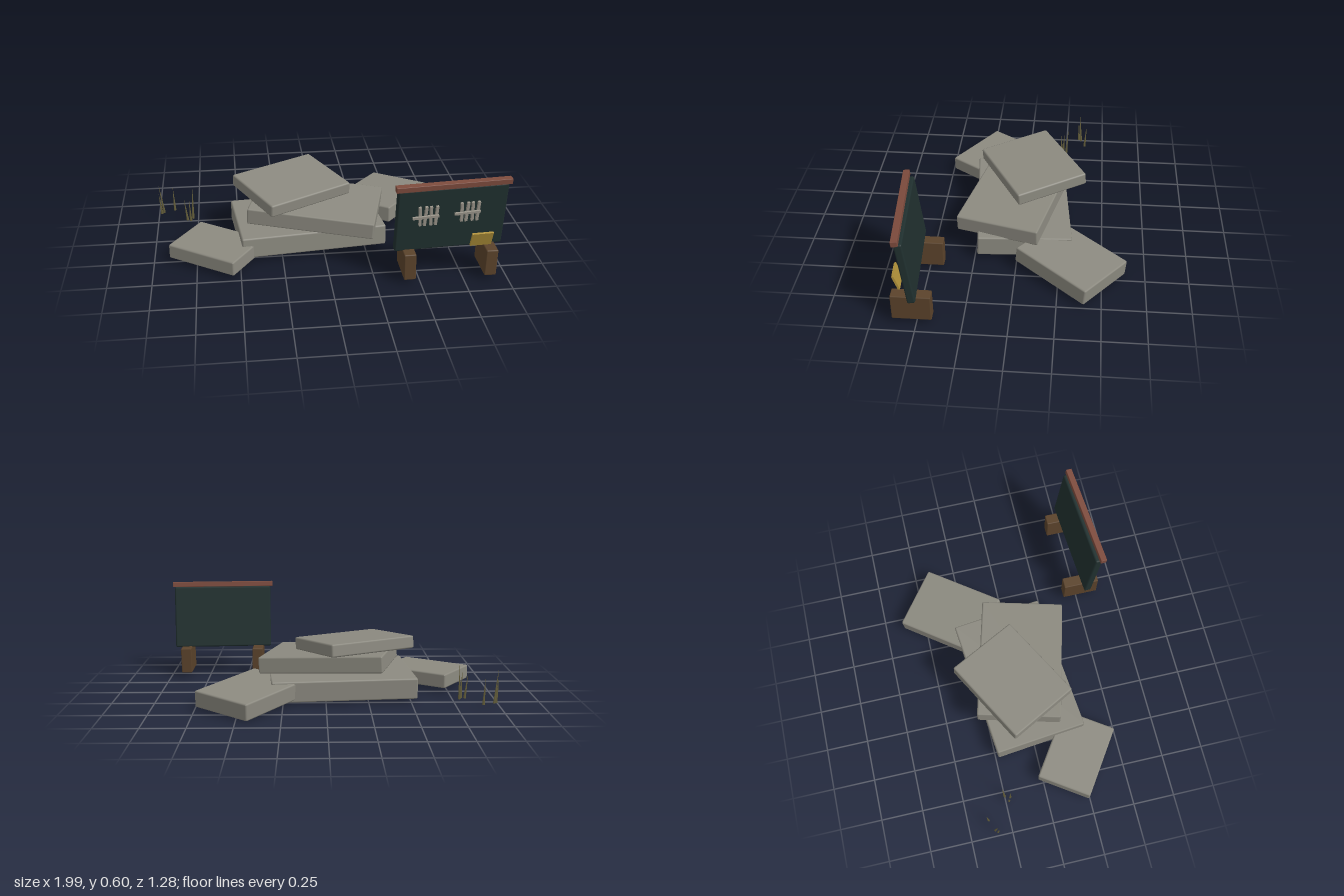
import * as THREE from 'three';
import { RoundedBoxGeometry } from 'three/addons/geometries/RoundedBoxGeometry.js';

const mat = (name, color) => {
  const m = new THREE.MeshStandardMaterial({ color });
  m.name = name;
  return m;
};

export function createModel() {
  const stone = mat('stone grey', 0x8c8a80);
  const slate = mat('dark slate', 0x20302f);
  const rust = mat('rust red', 0x7d4b3d);
  const wood = mat('brown wood', 0x5b432b);
  const brass = mat('dull yellow', 0xb0913a);
  const chalk = mat('chalk grey', 0x9a958a);
  const straw = mat('dry grass', 0x66603c);

  const model = new THREE.Group();

  // Bevelled block, turned about y first and then tilted locally
  function block(name, material, size, pos, [ry = 0, rx = 0, rz = 0], bevel, parent = model) {
    const geo = bevel
      ? new RoundedBoxGeometry(...size, 1, bevel)
      : new THREE.BoxGeometry(...size);
    const mesh = new THREE.Mesh(geo, material);
    mesh.name = name;
    mesh.position.set(...pos);
    mesh.rotation.set(rx, ry, rz, 'YXZ');
    parent.add(mesh);
    return mesh;
  }

  // Stacked and fallen stone slabs
  const slabs = [
    ['baseSlab', [0.86, 0.125, 0.555], [-0.085, 0.098, -0.002], [0.1, -0.035, 0]],
    ['middleSlab', [0.75, 0.1, 0.5], [-0.025, 0.225, 0.025], [-0.258, 0.01, -0.06]],
    ['topSlab', [0.56, 0.075, 0.45], [-0.17, 0.332, -0.06], [0.5, 0.07, 0]],
    ['fallenSlabBack', [0.39, 0.1, 0.515], [0.435, 0.088, -0.32], [-0.66, -0.07, 0.05]],
    ['fallenSlabFront', [0.447, 0.088, 0.33], [-0.635, 0.08, 0.23], [-0.594, 0, 0]],
  ];
  for (const [name, size, pos, rot] of slabs) block(name, stone, size, pos, rot, 0.01);

  // Sign posts
  block('leftPost', wood, [0.068, 0.16, 0.22], [0.9, 0.116, 0.525], [0, 0, -0.02], 0.006);
  block('rightPost', wood, [0.068, 0.16, 0.22], [0.437, 0.116, 0.525], [0, 0, 0.02], 0.006);

  // Leaning board with its top rail
  const sign = new THREE.Group();
  sign.name = 'sign';
  sign.position.set(0.667, 0.386, 0.5525);
  sign.rotation.set(0.115, 0.07, 0, 'YXZ');
  model.add(sign);
  block('board', slate, [0.626, 0.395, 0.045], [0, 0, 0], [], 0.01, sign);
  block('topRail', rust, [0.655, 0.033, 0.037], [0.668, 0.597, 0.592], [0.08, 0.1, 0], 0.003);

  // Tally marks: four upright strokes and one across, twice
  for (const [cx, cy] of [[-0.155, 0.034], [0.082, 0.041]]) {
    const tally = new THREE.Group();
    tally.name = 'tallyMarks';
    tally.position.set(cx, cy, 0.0225);
    sign.add(tally);
    for (let i = 0; i < 4; i++) {
      const tilt = [0.06, -0.05, 0.04, -0.03][i];
      block('stroke', chalk, [0.015, 0.12, 0.018], [-0.03 + i * 0.031, 0, 0.006], [0, 0, tilt], 0, tally);
    }
    block('crossStroke', chalk, [0.148, 0.014, 0.012], [0, 0, 0.018], [0, 0, 0.04], 0, tally);
  }

  // Small plate hanging in front of the board
  block('plate', brass, [0.122, 0.092, 0.012], [0.84, 0.26, 0.605], [0.07, 0.33, 0], 0);

  // Dry grass: base x, z, then tip x, y, z
  const blades = [
    [-0.967, -0.35, -0.99, 0.235, -0.335],
    [-0.98, -0.335, -0.993, 0.175, -0.33],
    [-0.9, -0.375, -0.906, 0.19, -0.385],
    [-0.815, -0.23, -0.832, 0.18, -0.235],
    [-0.795, -0.22, -0.8, 0.185, -0.215],
    [-0.782, -0.25, -0.776, 0.24, -0.262],
  ];
  for (const [bx, bz, tx, ty, tz] of blades) {
    const base = new THREE.Vector3(bx, 0.03, bz);
    const tip = new THREE.Vector3(tx, ty, tz);
    const dir = tip.clone().sub(base);
    const blade = new THREE.Mesh(new THREE.ConeGeometry(0.008, dir.length(), 4), straw);
    blade.name = 'grassBlade';
    blade.position.copy(base).add(tip).multiplyScalar(0.5);
    blade.quaternion.setFromUnitVectors(new THREE.Vector3(0, 1, 0), dir.normalize());
    model.add(blade);
  }

  return model;
}
